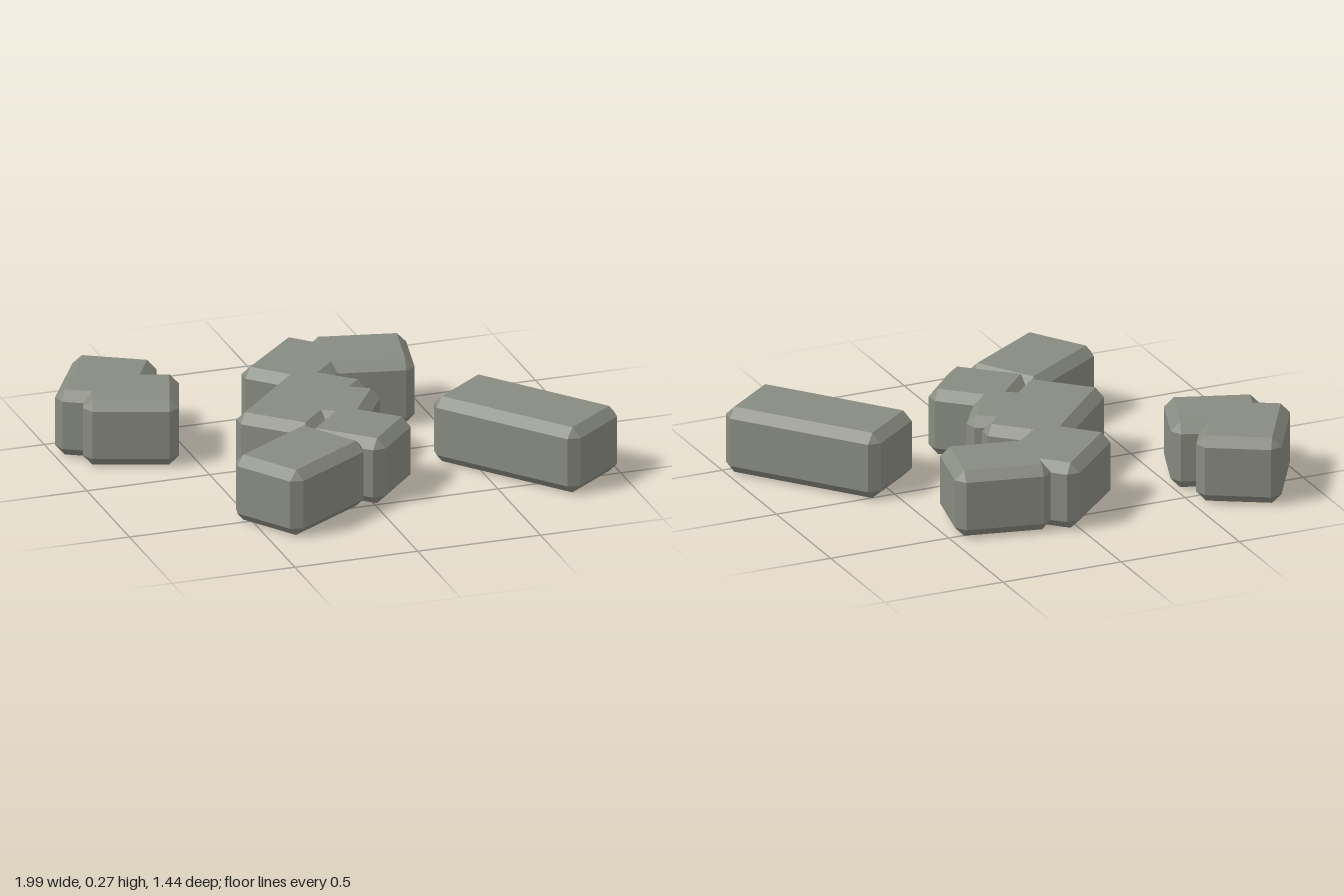
import * as THREE from 'three';
import { ConvexGeometry } from 'three/addons/geometries/ConvexGeometry.js';

const HEIGHT = 0.27;
const BEVEL = 0.037;

// Block with every edge chamfered once, standing on y = 0
function chamferedBlock(length, width) {
  const half = [length / 2, HEIGHT / 2, width / 2];
  const points = [];
  for (const sx of [-1, 1]) for (const sy of [-1, 1]) for (const sz of [-1, 1]) {
    for (let face = 0; face < 3; face++) {
      const p = half.map((h, axis) => (axis === face ? h : h - BEVEL));
      points.push(new THREE.Vector3(sx * p[0], sy * p[1], sz * p[2]));
    }
  }
  return new ConvexGeometry(points).translate(0, HEIGHT / 2, 0);
}

// name, x, z, length, width, heading in degrees from +x towards +z
const BLOCKS = [
  ['looseBrick', 0.677, 0.313, 0.67, 0.335, 51.7],
  ['frontBrick', -0.30, 0.48, 0.45, 0.33, -33],
  ['frontHalfBrick', 0, 0.31, 0.33, 0.315, 42.5],
  ['middleBrick', -0.12, -0.02, 0.56, 0.33, -46.5],
  ['middleHalfBrick', -0.02, 0.035, 0.33, 0.33, 33],
  ['backBrick', 0, -0.39, 0.41, 0.33, -44.5],
  ['backEndBrick', 0.26, -0.41, 0.38, 0.33, 12],
  ['cornerBackBrick', -0.76, -0.47, 0.43, 0.33, 120],
  ['cornerFrontBrick', -0.71, -0.32, 0.37, 0.33, 19],
];

export function createModel() {
  const group = new THREE.Group();
  group.name = 'scatteredBricks';
  const stone = new THREE.MeshStandardMaterial({ color: 0x888b80 });
  stone.name = 'greyStone';

  for (const [name, x, z, length, width, heading] of BLOCKS) {
    const brick = new THREE.Mesh(chamferedBlock(length, width), stone);
    brick.name = name;
    brick.position.set(x, 0, z);
    brick.rotation.y = -THREE.MathUtils.degToRad(heading);
    group.add(brick);
  }
  return group;
}
